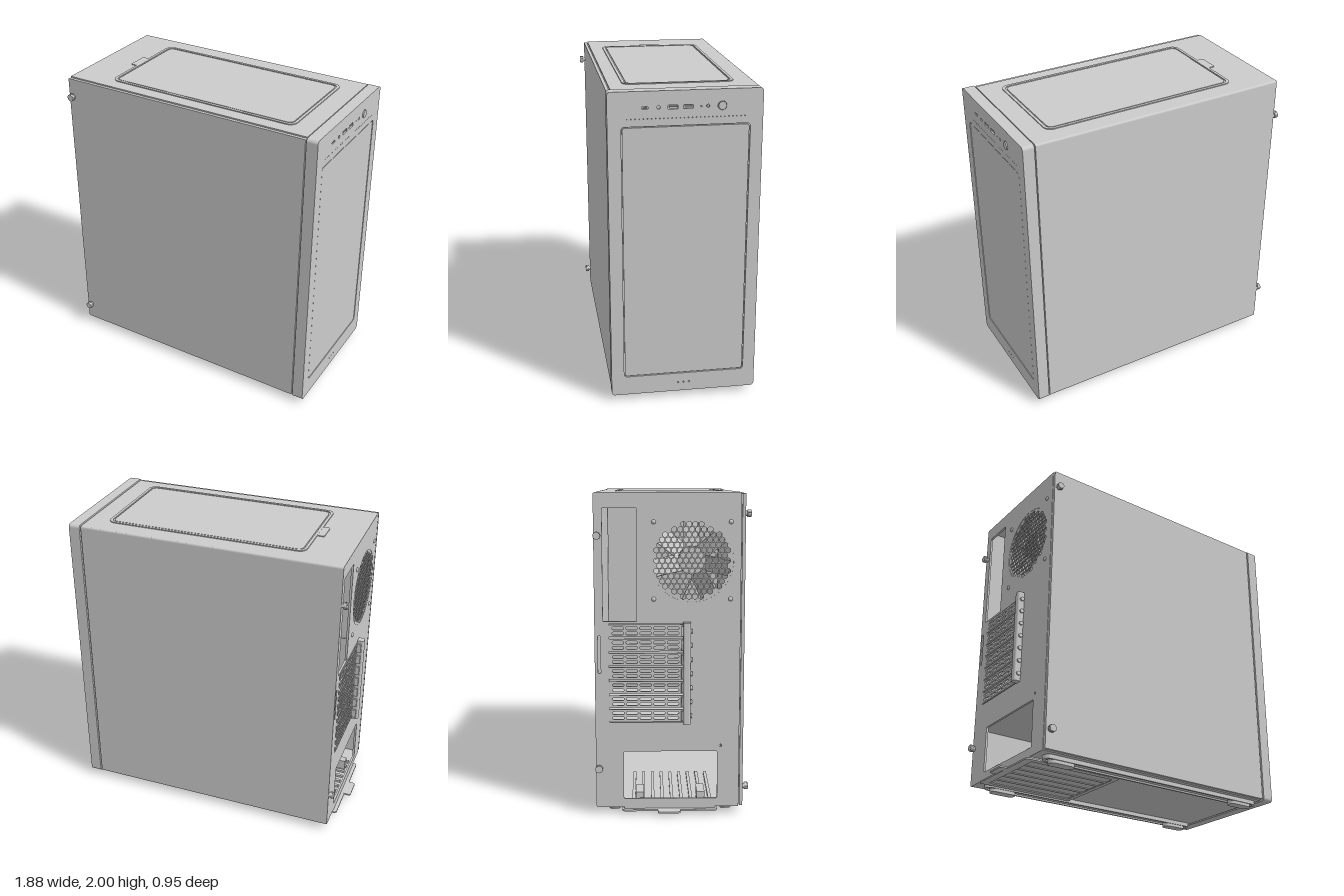
import * as THREE from 'three';

const mat = new THREE.MeshStandardMaterial({ color: 0xcccccc, side: THREE.DoubleSide });

// Rounded rectangle outline from its limits
function rect(u0, u1, v0, v1, r = 0.004, Type = THREE.Path) {
  const p = new Type();
  const q = Math.PI / 2;
  p.moveTo(u0 + r, v0);
  p.absarc(u1 - r, v0 + r, r, -q, 0, false);
  p.absarc(u1 - r, v1 - r, r, 0, q, false);
  p.absarc(u0 + r, v1 - r, r, q, 2 * q, false);
  p.absarc(u0 + r, v0 + r, r, 2 * q, 3 * q, false);
  p.closePath();
  return p;
}
const rectShape = (u0, u1, v0, v1, r, holes = []) => {
  const s = rect(u0, u1, v0, v1, r, THREE.Shape);
  s.holes.push(...holes);
  return s;
};
function ngon(u, v, r, n = 20, Type = THREE.Path) {
  const pts = [];
  for (let i = 0; i < n; i++) {
    const a = ((i + 0.5) / n) * Math.PI * 2;
    pts.push(new THREE.Vector2(u + r * Math.cos(a), v + r * Math.sin(a)));
  }
  return new Type(pts);
}

export function createModel() {
  const model = new THREE.Group();
  model.name = 'computerCase';

  const add = (name, geo, parent = model) => {
    const m = new THREE.Mesh(geo, mat);
    m.name = name;
    parent.add(m);
    return m;
  };
  const group = (name) => {
    const g = new THREE.Group();
    g.name = name;
    model.add(g);
    return g;
  };
  const extrude = (shape, depth) =>
    new THREE.ExtrudeGeometry(shape, { depth, bevelEnabled: false, curveSegments: 6 });
  // Plate drawn in (z, y), filling x0..x1
  const plateX = (name, shape, x0, x1, parent) =>
    add(name, extrude(shape, x1 - x0).rotateY(-Math.PI / 2).translate(x1, 0, 0), parent);
  // Plate drawn in (x, z), filling y0..y1
  const plateY = (name, shape, y0, y1, parent) =>
    add(name, extrude(shape, y1 - y0).rotateX(Math.PI / 2).translate(0, y1, 0), parent);
  // Plate drawn in (x, y), filling z0..z1
  const plateZ = (name, shape, z0, z1, parent) =>
    add(name, extrude(shape, z1 - z0).translate(0, 0, z0), parent);
  const box = (name, x0, x1, y0, y1, z0, z1, parent) =>
    add(name, new THREE.BoxGeometry(x1 - x0, y1 - y0, z1 - z0)
      .translate((x0 + x1) / 2, (y0 + y1) / 2, (z0 + z1) / 2), parent);
  const discX = (name, x0, x1, y, z, r, parent, n = 20) =>
    add(name, new THREE.CylinderGeometry(r, r, x1 - x0, n).rotateZ(Math.PI / 2)
      .translate((x0 + x1) / 2, y, z), parent);

  // Wrapped shell: top, right wall and floor, open towards the side panel
  const shell = new THREE.Shape();
  shell.moveTo(0.415, 1.994);
  shell.lineTo(-0.458, 1.994);
  shell.quadraticCurveTo(-0.472, 1.994, -0.472, 1.98);
  shell.lineTo(-0.472, 0.06);
  shell.quadraticCurveTo(-0.472, 0.046, -0.458, 0.046);
  shell.lineTo(0.415, 0.046);
  shell.lineTo(0.415, 0.06);
  shell.lineTo(-0.458, 0.06);
  shell.lineTo(-0.458, 1.98);
  shell.lineTo(0.415, 1.98);
  shell.closePath();
  plateX('shell', shell, -0.87, 0.85);

  // Removable side panel, standing on a narrow gap
  plateZ('sidePanel', rectShape(-0.87, 0.85, 0.05, 1.988, 0.006), 0.42, 0.44);
  box('sideFrame', -0.86, 0.84, 0.056, 1.985, 0.405, 0.42);

  // Front panel with framed filter and port holes
  const front = group('frontPanel');
  box('frontNeck', 0.845, 0.862, 0.055, 1.985, -0.46, 0.43, front);
  plateX('frontBody', rectShape(-0.475, 0.445, 0.04, 1.998, 0.022), 0.858, 0.922, front);
  const ports = [
    rect(0.205, 0.245, 1.892, 1.908, 0.0075), ngon(0.145, 1.9, 0.01),
    rect(0.032, 0.09, 1.888, 1.912), rect(-0.058, 0, 1.888, 1.912),
    ngon(-0.105, 1.9, 0.005), ngon(-0.145, 1.9, 0.01), ngon(-0.23, 1.9, 0.027, 28),
  ];
  const dots = [];
  for (let i = 0; i < 30; i++) dots.push(ngon(0.33 - i * 0.024, 1.835, 0.003, 6));
  for (let i = 0; i < 3; i++) dots.push(ngon(0.02 - i * 0.035, 0.1, 0.005, 8));
  plateX('frontFace', rectShape(-0.475, 0.445, 0.04, 1.998, 0.022,
    [rect(-0.4, 0.365, 0.165, 1.79, 0.02), ...ports, ...dots]), 0.922, 0.933, front);
  plateX('frontFilter', rectShape(-0.394, 0.359, 0.171, 1.784, 0.016), 0.92, 0.931, front);
  discX('powerButton', 0.92, 0.94, 1.9, -0.23, 0.024, front, 28);
  discX('resetButton', 0.92, 0.932, 1.9, -0.145, 0.007, front);
  for (const z of [0.061, -0.029]) box('portTongue', 0.92, 0.931, 1.899, 1.906, z - 0.022, z + 0.022, front);
  box('smallPortTongue', 0.92, 0.931, 1.898, 1.902, 0.213, 0.237, front);

  // Top dust filter: border, groove, inset sheet and pull tab
  const top = group('topFilter');
  plateY('filterBorder', rectShape(-0.6, 0.72, -0.35, 0.33, 0.05,
    [rect(-0.582, 0.702, -0.332, 0.312, 0.038)]), 1.992, 2.0, top);
  plateY('filterSheet', rectShape(-0.574, 0.694, -0.324, 0.304, 0.034), 1.992, 1.998, top);
  plateY('filterTab', rectShape(-0.645, -0.59, -0.09, 0.05, 0.008), 1.992, 1.999, top);

  // Rear plate with openings for sockets, expansion slots, power supply and fan
  const rear = group('rearPanel');
  const fanY = 1.587, fanZ = 0.12;
  plateX('rearPlate', rectShape(-0.468, 0.415, 0.05, 1.99, 0.006, [
    rect(-0.42, -0.215, 1.22, 1.9), rect(-0.385, 0.07, 0.59, 1.205),
    rect(-0.3, 0.28, 0.1, 0.405, 0.01), rect(-0.452, -0.436, 0.9, 1.13),
    ngon(fanZ, fanY, 0.25, 48), ngon(0.3, 0.44, 0.008),
  ]), -0.87, -0.856, rear);

  // Honeycomb fan grille
  const grille = ngon(fanZ, fanY, 0.252, 48, THREE.Shape);
  const pitch = 0.036;
  for (let j = -8; j <= 8; j++) for (let i = -8; i <= 8; i++) {
    const u = (i + (j & 1) / 2) * pitch, v = j * pitch * 0.866;
    if (Math.hypot(u, v) < 0.232) grille.holes.push(ngon(fanZ + u, fanY + v, 0.0165, 6));
  }
  plateX('fanGrille', grille, -0.868, -0.86, rear);

  // Rear fan: frame, hub, twisted blades and four screws
  const fan = group('rearFan');
  plateX('fanFrame', rectShape(fanZ - 0.265, fanZ + 0.265, fanY - 0.265, fanY + 0.265, 0.03,
    [ngon(fanZ, fanY, 0.25, 48)]), -0.855, -0.75, fan);
  discX('fanHub', -0.845, -0.76, fanY, fanZ, 0.085, fan, 32);
  for (let i = 0; i < 7; i++) {
    const blade = add('fanBlade', new THREE.BoxGeometry(0.006, 0.17, 0.12)
      .rotateY(0.6).translate(0, 0.155, 0).rotateX((i / 7) * Math.PI * 2), fan);
    blade.position.set(-0.8, fanY, fanZ);
  }
  for (const sy of [-1, 1]) for (const sz of [-1, 1])
    add('fanScrew', new THREE.SphereGeometry(0.014, 14, 8).scale(0.9, 1, 1), fan)
      .position.set(-0.87, fanY + sy * 0.232, fanZ + sz * 0.232);

  // Expansion slot covers with vents, and their screw bracket
  const slots = group('expansionSlots');
  for (let i = 0; i < 7; i++) {
    const y = 1.162 - i * 0.088;
    const vents = [];
    for (let k = 0; k < 5; k++) for (const d of [-0.016, 0.016])
      vents.push(rect(-0.365 + k * 0.084, -0.295 + k * 0.084, y + d - 0.009, y + d + 0.009, 0.008));
    plateX('slotCover', rectShape(-0.385, 0.07, y - 0.038, y + 0.038, 0.005, vents), -0.872, -0.86, slots);
    box('slotTab', -0.9, -0.872, y - 0.03, y + 0.03, 0.055, 0.075, slots);
    add('slotScrew', new THREE.CylinderGeometry(0.014, 0.014, 0.014, 16).rotateX(Math.PI / 2), slots)
      .position.set(-0.888, y, 0.115);
  }
  plateY('slotBracket', rectShape(-0.915, -0.866, 0.066, 0.112, 0.012), 0.585, 1.215, slots);

  // Interior: power supply cover, inner front wall and ribbed floor
  const inside = group('interior');
  box('supplyCover', -0.855, 0.8, 0.44, 0.452, -0.455, 0.4, inside);
  box('innerFrontWall', 0.8, 0.812, 0.06, 1.98, -0.455, 0.4, inside);
  for (let i = 0; i < 9; i++) {
    const z = -0.24 + i * 0.06;
    box('floorRib', -0.84, -0.25, 0.06, 0.075, z - 0.01, z + 0.01, inside);
  }
  for (const z of [-0.2, 0.18]) box('supplyRest', -0.83, -0.68, 0.06, 0.13, z - 0.025, z + 0.025, inside);

  // Base: long rounded rails carrying four feet
  const base = group('base');
  for (const z of [-0.36, 0.34]) {
    plateY('rail', rectShape(-0.82, 0.85, z - 0.04, z + 0.04, 0.038,
      [rect(-0.8, 0.83, z - 0.026, z + 0.026, 0.025)]), 0.02, 0.048, base);
    plateY('railFloor', rectShape(-0.81, 0.84, z - 0.032, z + 0.032, 0.03), 0.03, 0.048, base);
    for (const x of [-0.695, 0.72]) {
      plateY('foot', rectShape(x - 0.088, x + 0.088, z - 0.033, z + 0.033, 0.032), 0, 0.035, base);
    }
  }

  // Bottom dust filter that slides out at the rear
  const bottom = group('bottomFilter');
  const gaps = [];
  for (let i = 0; i < 6; i++) gaps.push(rect(-0.84, -0.25, -0.27 + i * 0.086, -0.19 + i * 0.086, 0.008));
  plateY('filterFrame', rectShape(-0.895, -0.22, -0.31, 0.28, 0.02, gaps), 0.026, 0.036, bottom);
  plateY('filterMesh', rectShape(-0.87, -0.23, -0.3, 0.27, 0.01), 0.032, 0.046, bottom);
  plateY('filterPull', rectShape(-0.94, -0.88, -0.09, 0.05, 0.015), 0.027, 0.037, bottom);

  // Knurled thumb screws, axis along +y before turning
  const thumbScrew = (x, y, z, rx, rz) => {
    const g = group('thumbScrew');
    add('collar', new THREE.CylinderGeometry(0.016, 0.016, 0.014, 20).translate(0, 0.006, 0), g);
    add('knob', new THREE.CylinderGeometry(0.022, 0.022, 0.024, 20).translate(0, 0.023, 0), g);
    for (let i = 0; i < 16; i++)
      add('knurl', new THREE.BoxGeometry(0.003, 0.02, 0.004).translate(0.022, 0.023, 0)
        .rotateY((i / 16) * Math.PI * 2), g);
    g.position.set(x, y, z);
    g.rotation.set(rx, 0, rz);
  };
  for (const y of [1.868, 0.17]) thumbScrew(-0.84, y, 0.44, Math.PI / 2, 0);
  for (const y of [1.738, 0.3]) thumbScrew(-0.87, y, -0.452, 0, Math.PI / 2);

  return model;
}
